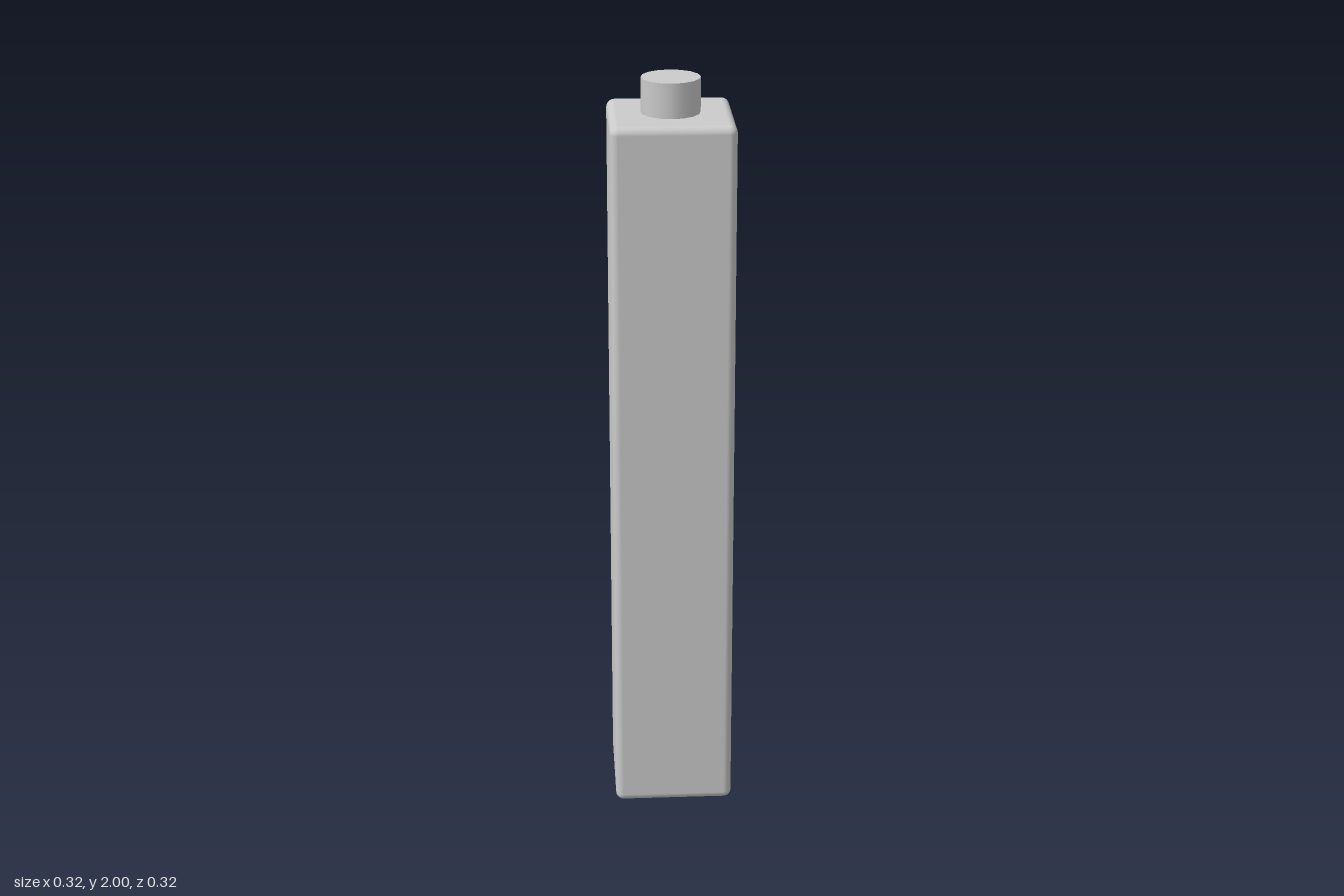
import * as THREE from 'three';
import { RoundedBoxGeometry } from 'three/addons/geometries/RoundedBoxGeometry.js';

const HALF = 0.159, BODY_H = 1.91, EDGE = 0.021;
const PEG_R = 0.076, PEG_H = 0.09;

// Stand a box on y = 0 and drop the flat triangles of its underside
function openBottom(source, height) {
  const src = source.index ? source.toNonIndexed() : source;
  src.translate(0, height / 2, 0);
  const p = src.attributes.position, n = src.attributes.normal;
  const pos = [], nor = [];
  for (let t = 0; t < p.count; t += 3) {
    const corners = [t, t + 1, t + 2];
    if (corners.every((i) => p.getY(i) < 1e-5)) continue;
    for (const i of corners) {
      pos.push(p.getX(i), p.getY(i), p.getZ(i));
      nor.push(n.getX(i), n.getY(i), n.getZ(i));
    }
  }
  const g = new THREE.BufferGeometry();
  g.setAttribute('position', new THREE.Float32BufferAttribute(pos, 3));
  g.setAttribute('normal', new THREE.Float32BufferAttribute(nor, 3));
  return g;
}

export function createModel() {
  const model = new THREE.Group();
  const grey = new THREE.MeshStandardMaterial({ color: 0xcccccc });
  const greyInside = new THREE.MeshStandardMaterial({ color: 0xcccccc, side: THREE.BackSide });

  const add = (name, geometry, material = grey) => {
    const mesh = new THREE.Mesh(geometry, material);
    mesh.name = name;
    model.add(mesh);
    return mesh;
  };

  // Square column with softly rounded edges, open underneath
  add('column', openBottom(new RoundedBoxGeometry(2 * HALF, BODY_H, 2 * HALF, 4, EDGE), BODY_H));

  // Shallow square recess in the underside, seen from within
  const inner = 2 * (HALF - EDGE);
  add('bottomRecess', openBottom(new THREE.BoxGeometry(inner, PEG_H, inner), PEG_H), greyInside);

  // Round peg on the top
  add('topPeg', new THREE.CylinderGeometry(PEG_R, PEG_R, PEG_H, 16)).position.y = BODY_H + PEG_H / 2;

  return model;
}
